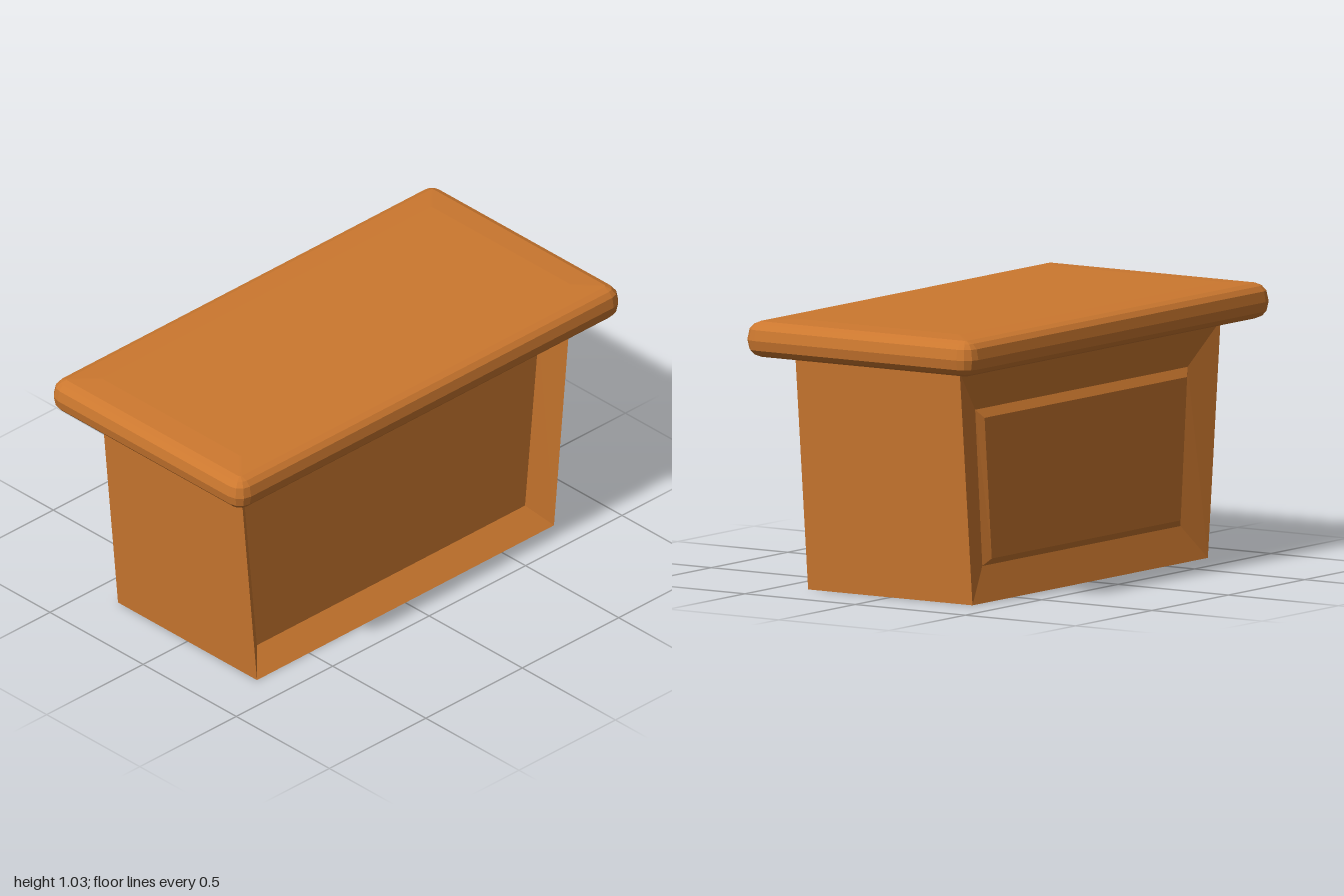
import * as THREE from 'three';

// Joins closed rings of equal length, in order, and caps both ends.
// Each ring runs counter-clockwise seen from the end of the loft.
function loft(rings) {
  const pos = [];
  const tri = (a, b, c) => pos.push(...a, ...b, ...c);
  const n = rings[0].length;
  for (let r = 0; r < rings.length - 1; r++) {
    const a = rings[r], b = rings[r + 1];
    for (let i = 0; i < n; i++) {
      const j = (i + 1) % n;
      tri(a[i], a[j], b[j]);
      tri(a[i], b[j], b[i]);
    }
  }
  const first = rings[0], last = rings[rings.length - 1];
  for (let i = 1; i < n - 1; i++) {
    tri(first[0], first[i + 1], first[i]);
    tri(last[0], last[i], last[i + 1]);
  }
  const geo = new THREE.BufferGeometry();
  geo.setAttribute('position', new THREE.Float32BufferAttribute(pos, 3));
  geo.computeVertexNormals();
  return geo;
}

// Trapezoid across z and y at one x position
function trapezoid(x, y0, z0, y1, z1) {
  return [[x, y0, z0], [x, y0, -z0], [x, y1, -z1], [x, y1, z1]];
}

// Rounded rectangle at one height
function roundedRing(y, hx, hz, radius, steps = 3) {
  const ring = [];
  [[1, 1], [-1, 1], [-1, -1], [1, -1]].forEach(([sx, sz], corner) => {
    for (let i = 0; i <= steps; i++) {
      const t = (corner + i / steps) * Math.PI / 2;
      ring.push([
        sx * (hx - radius) + Math.cos(t) * radius,
        y,
        -sz * (hz - radius) - Math.sin(t) * radius,
      ]);
    }
  });
  return ring;
}

export function createModel() {
  const model = new THREE.Group();
  model.name = 'desk';
  const wood = new THREE.MeshStandardMaterial({ color: 0xcc782f });
  wood.name = 'wood';

  const add = (name, geometry) => {
    const mesh = new THREE.Mesh(geometry, wood);
    mesh.name = name;
    model.add(mesh);
  };

  // Tapered body: raised panel on one long side, deep recess on the other
  add('body', loft([
    trapezoid(-0.353, 0.157, 0.615, 0.692, 0.662),
    trapezoid(-0.333, 0.131, 0.648, 0.725, 0.695),
    trapezoid(-0.373, 0, 0.77, 0.885, 0.853),
    trapezoid(0.373, 0, 0.77, 0.885, 0.853),
    trapezoid(0.295, 0.085, 0.695, 0.8, 0.765),
  ]));

  // Table top with a soft rounded edge: [inset, y]
  const edge = [
    [0.145, 0.883], [0.05, 0.89], [0.025, 0.9], [0.008, 0.918], [0, 0.955],
    [0.008, 0.995], [0.025, 1.014], [0.05, 1.024], [0.145, 1.03],
  ];
  add('tableTop', loft(edge.map(([inset, y]) =>
    roundedRing(y, 0.518 - inset, 1 - inset, Math.max(0.06 - inset, 0.008)))));

  return model;
}
